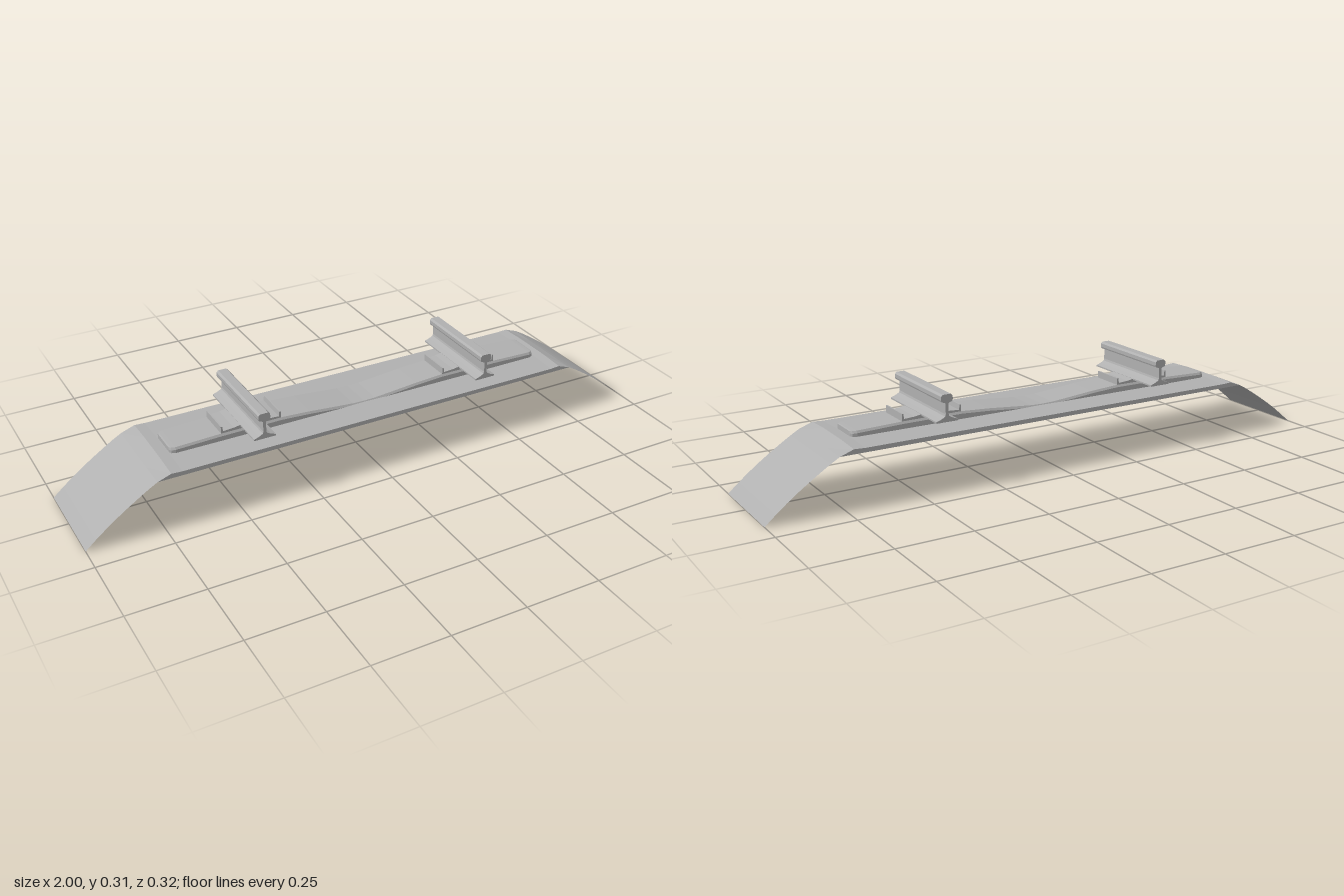
import * as THREE from 'three';

const steel = new THREE.MeshStandardMaterial({ color: 0xb0b0b0, side: THREE.DoubleSide });
steel.name = 'grey';

function add(group, geometry, name) {
  const mesh = new THREE.Mesh(geometry, steel);
  mesh.name = name;
  group.add(mesh);
  return mesh;
}

// Joins equal-length cross-sections into a flat-shaded skin, with optional end caps
function loft(sections, capped) {
  const pos = [];
  const tri = (a, b, c) => pos.push(...a, ...b, ...c);
  for (let i = 0; i < sections.length - 1; i++) {
    const s = sections[i], t = sections[i + 1];
    for (let j = 0; j < s.length - 1; j++) {
      tri(s[j], s[j + 1], t[j + 1]);
      tri(s[j], t[j + 1], t[j]);
    }
  }
  if (capped) {
    const first = sections[0], last = sections[sections.length - 1];
    for (let j = 1; j < first.length - 1; j++) {
      tri(first[0], first[j + 1], first[j]);
      tri(last[0], last[j], last[j + 1]);
    }
  }
  const g = new THREE.BufferGeometry();
  g.setAttribute('position', new THREE.Float32BufferAttribute(pos, 3));
  g.computeVertexNormals();
  return g;
}

// Mirrors a half profile [x, y] and extrudes it along z
function extrudeProfile(half, depth) {
  const mirrored = half.map(([x, y]) => [-x, y]).reverse();
  const shape = new THREE.Shape([...half, ...mirrored].map(([x, y]) => new THREE.Vector2(x, y)));
  const g = new THREE.ExtrudeGeometry(shape, { depth, bevelEnabled: false });
  return g.translate(0, 0, -depth / 2);
}

// Full-length station list from its positive half
const mirrorStations = half =>
  [...half.map(([x, ...r]) => [-x, ...r]), ...half.slice().reverse()];

export function createModel() {
  const group = new THREE.Group();
  const halfDepth = 0.162;

  // Ballast bed: a slightly crowned sheet that curves down at both ends
  const bed = mirrorStations([
    [1, 0], [0.965, 0.03], [0.93, 0.058], [0.895, 0.084], [0.86, 0.108],
    [0.825, 0.131], [0.79, 0.153], [0.76, 0.17], [0.715, 0.186], [0.68, 0.184],
  ]);
  add(group, loft(bed.map(([x, y]) => {
    const crown = Math.abs(x) < 0.75 ? 0.004 : 0;
    return [[-halfDepth, 0], [-0.07, crown], [0.07, crown], [halfDepth, 0]]
      .map(([z, c]) => [x, y + c, z]);
  })), 'ballastBed');

  // Straight side walls under the flat part of the bed
  const wall = [[-0.76, 0.17], [0.76, 0.17], [0.715, 0.186], [0.68, 0.184], [-0.68, 0.184], [-0.715, 0.186]];
  for (const side of [-1, 1]) {
    const g = new THREE.ShapeGeometry(new THREE.Shape(wall.map(([x, y]) => new THREE.Vector2(x, y))));
    if (side < 0) g.rotateY(Math.PI);
    g.translate(0, 0, side * halfDepth);
    add(group, g, 'bedSide');
  }

  // Sleeper: hollow trough, open below, waisted in the middle with rounded ends
  const sleeper = mirrorStations([
    [0.678, 0.047, 0.204], [0.673, 0.057, 0.205], [0.66, 0.062, 0.206], [0.51, 0.063, 0.211],
    [0.3, 0.063, 0.212], [0.2, 0.063, 0.206], [0.1, 0.063, 0.197], [0.04, 0.063, 0.192], [0, 0.063, 0.191],
  ]);
  add(group, loft(sleeper.map(([x, w, y]) => [
    [x, 0.15, w], [x, y - 0.007, w], [x, y, w - 0.005],
    [x, y, 0.005 - w], [x, y - 0.007, -w], [x, 0.15, -w],
  ].reverse())), 'sleeper');
  for (const side of [-1, 1]) {
    const end = new THREE.PlaneGeometry(0.094, 0.054);
    end.rotateY(side * Math.PI / 2).translate(side * 0.678, 0.177, 0);
    add(group, end, 'sleeperEnd');
  }

  // Rails on their base plates
  const railProfile = [
    [0.037, 0.22], [0.037, 0.225], [0.02, 0.231], [0.007, 0.238], [0.005, 0.245], [0.005, 0.28],
    [0.018, 0.285], [0.02, 0.29], [0.02, 0.302], [0.014, 0.308],
  ];
  const plateProfile = [
    [0.103, 0.208], [0.103, 0.235], [0.098, 0.235], [0.096, 0.218], [0.06, 0.22], [0.037, 0.224],
  ];
  for (const side of [-1, 1]) {
    const track = new THREE.Group();
    track.name = side > 0 ? 'leftRail' : 'rightRail';
    track.position.x = side * 0.405;
    add(track, extrudeProfile(railProfile, halfDepth * 2), 'rail');
    add(track, extrudeProfile(plateProfile, 0.116), 'basePlate');
    group.add(track);
  }
  return group;
}
